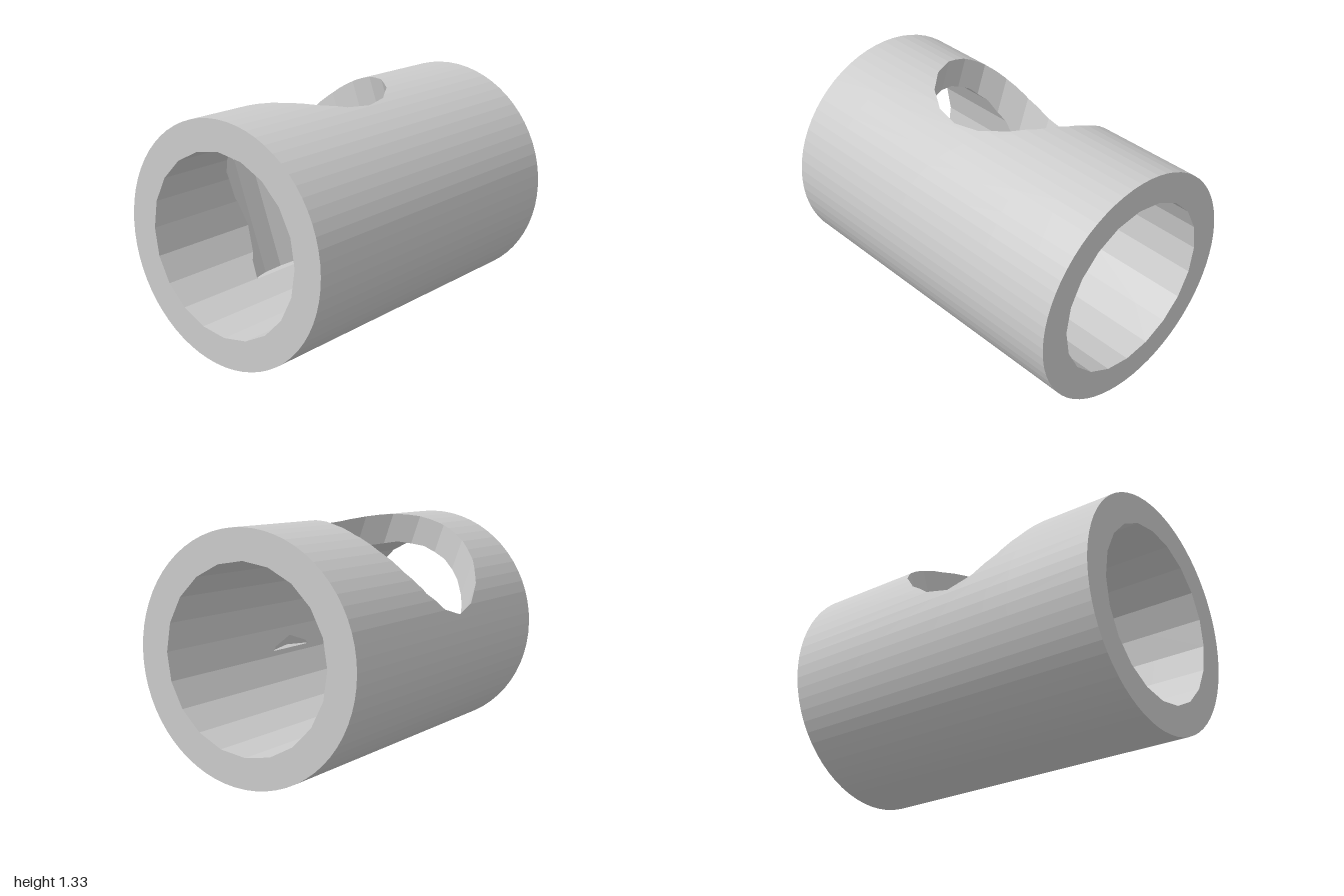
import * as THREE from 'three';

const V = (x, y, z) => new THREE.Vector3(x, y, z);
const OUTER = 2 / 3, BORE = 0.5, HALF = 1;

// Corners of a regular polygon, first corner at the top, running clockwise
const ring = (sides, radius, z) => Array.from({ length: sides }, (_, i) => {
  const t = (i / sides) * Math.PI * 2;
  return V(radius * Math.sin(t), radius * Math.cos(t), z);
});

// Side faces of a prism along z, plus its low end cap, all facing outwards
function prism(sides, radius, lo, hi, matrix = new THREE.Matrix4()) {
  const a = ring(sides, radius, lo).map(p => p.applyMatrix4(matrix));
  const b = ring(sides, radius, hi).map(p => p.applyMatrix4(matrix));
  const walls = a.map((p, i) => {
    const j = (i + 1) % sides;
    return [p, b[i], b[j], a[j]];
  });
  return { walls, cap: a };
}

const planesOf = faces => faces.map(f => new THREE.Plane().setFromCoplanarPoints(f[0], f[1], f[2]));

// Cut a convex polygon by a plane into its inner and outer piece
function split(poly, plane) {
  const inside = [], outside = [];
  poly.forEach((p, i) => {
    const q = poly[(i + 1) % poly.length];
    const dp = plane.distanceToPoint(p), dq = plane.distanceToPoint(q);
    if (dp < 1e-7) inside.push(p);
    if (dp > -1e-7) outside.push(p);
    if ((dp < -1e-7 && dq > 1e-7) || (dp > 1e-7 && dq < -1e-7)) {
      const m = p.clone().lerp(q, dp / (dp - dq));
      inside.push(m);
      outside.push(m);
    }
  });
  return [inside, outside];
}

// Pieces of the polygons that lie inside / outside a convex body
function divide(polys, planes) {
  const inside = [], outside = [];
  for (let rest of polys) {
    for (const plane of planes) {
      const [inner, outer] = split(rest, plane);
      if (outer.length > 2) outside.push(outer);
      rest = inner;
      if (rest.length < 3) break;
    }
    if (rest.length > 2) inside.push(rest);
  }
  return { inside, outside };
}

const material = new THREE.MeshStandardMaterial({ color: 0xcccccc, flatShading: true });

function mesh(name, polys, flip = false) {
  const points = [];
  for (const p of polys) {
    for (let i = 1; i < p.length - 1; i++) {
      points.push(...(flip ? [p[0], p[i + 1], p[i]] : [p[0], p[i], p[i + 1]]));
    }
  }
  const geometry = new THREE.BufferGeometry().setFromPoints(points);
  geometry.computeVertexNormals();
  const m = new THREE.Mesh(geometry, material);
  m.name = name;
  return m;
}

export function createModel() {
  const group = new THREE.Group();
  group.name = 'tubeWithPort';

  const outer = prism(64, OUTER, -HALF, HALF);
  const bore = prism(20, BORE, -HALF, HALF);

  // Round port, tilted 20 degrees to the side and ending blind inside the tube
  const tilt = THREE.MathUtils.degToRad(20);
  const axis = V(-Math.sin(tilt), Math.cos(tilt), 0);
  const across = V(-Math.cos(tilt), -Math.sin(tilt), 0);
  const place = new THREE.Matrix4().makeBasis(across, V(0, 0, 1), axis)
    .setPosition(across.clone().multiplyScalar(0.056).add(V(0, 0, 0.1)));
  const port = prism(20, 0.5, -0.282, 1.5, place);
  const portFaces = [...port.walls, port.cap];
  const portPlanes = planesOf(portFaces);

  // Tube walls with the port removed
  group.add(mesh('outerWall', divide(outer.walls, portPlanes).outside));
  group.add(mesh('boreWall', divide(bore.walls, portPlanes).outside, true));

  // Port sides and floor, kept only within the wall thickness
  const withinTube = divide(portFaces, planesOf(outer.walls)).inside;
  group.add(mesh('portWall', divide(withinTube, planesOf(bore.walls)).outside, true));

  // Flat ring at each end
  const shape = new THREE.Shape(ring(64, OUTER, 0));
  shape.holes.push(new THREE.Path(ring(20, BORE, 0)));
  for (const side of [1, -1]) {
    const end = new THREE.Mesh(new THREE.ShapeGeometry(shape), material);
    end.name = side > 0 ? 'frontRing' : 'backRing';
    end.position.z = side * HALF;
    if (side < 0) end.rotation.y = Math.PI;
    group.add(end);
  }

  // Rest the tube on the ground
  group.children.forEach(child => { child.position.y = OUTER; });
  return group;
}
